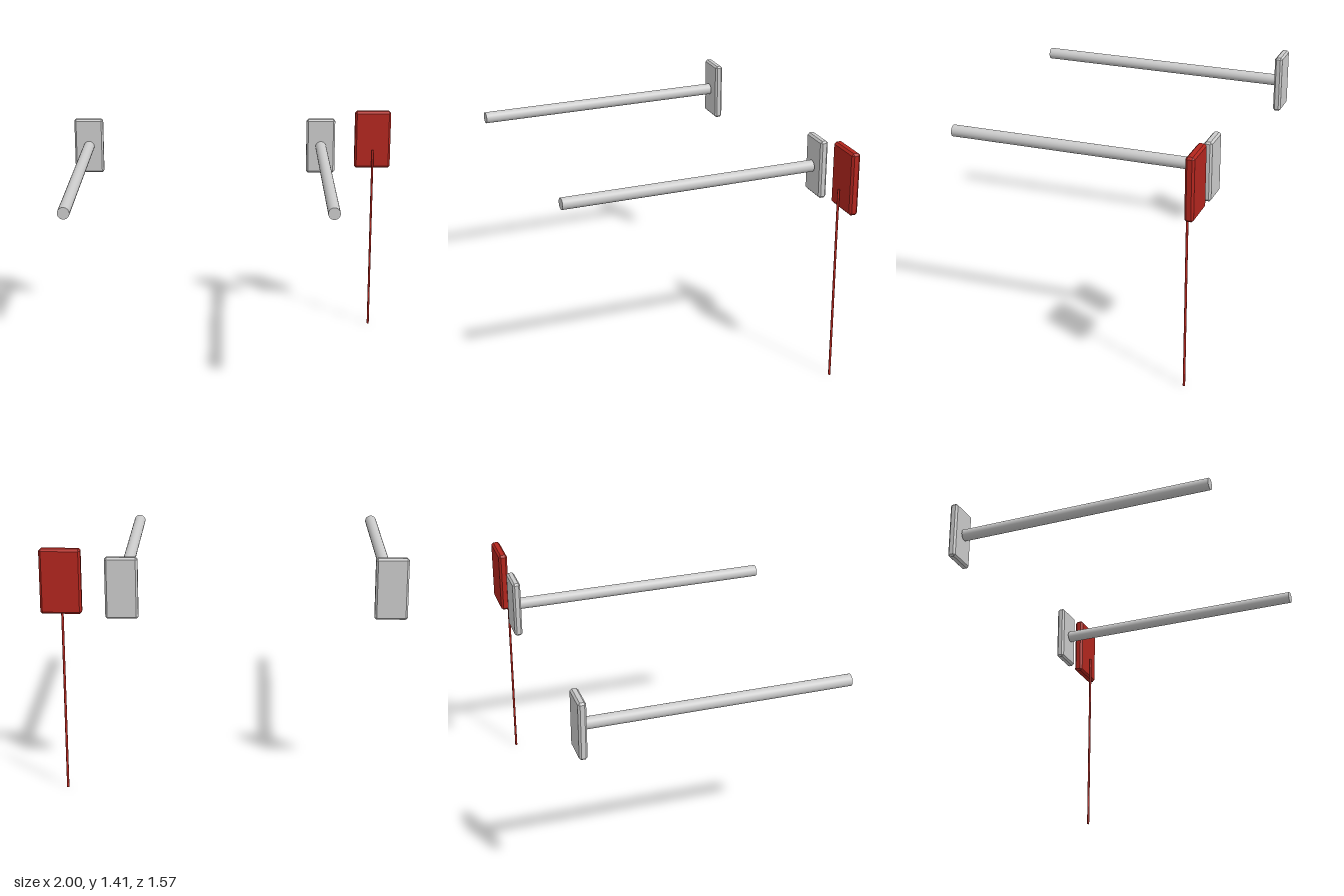
import * as THREE from 'three';
import { ConvexGeometry } from 'three/addons/geometries/ConvexGeometry.js';

// Box with every edge and corner cut by a bevel b (w, h, d are half sizes)
function chamferedBox(w, h, d, b) {
  const points = [];
  for (const x of [-1, 1]) for (const y of [-1, 1]) for (const z of [-1, 1]) {
    points.push(
      new THREE.Vector3(x * w, y * (h - b), z * (d - b)),
      new THREE.Vector3(x * (w - b), y * h, z * (d - b)),
      new THREE.Vector3(x * (w - b), y * (h - b), z * d)
    );
  }
  return new ConvexGeometry(points);
}

export function createModel() {
  const model = new THREE.Group();
  const grey = new THREE.MeshStandardMaterial({ color: 0xcccccc });
  const red = new THREE.MeshStandardMaterial({ color: 0xb3261e });

  const add = (parent, name, geometry, material, x, y, z) => {
    const mesh = new THREE.Mesh(geometry, material);
    mesh.name = name;
    mesh.position.set(x, y, z);
    parent.add(mesh);
    return mesh;
  };

  // Two horizontal rods, each ending just in front of a wall plate
  const plate = chamferedBox(0.09, 0.172, 0.023, 0.011);
  const rod = new THREE.CylinderGeometry(0.034, 0.034, 1.508, 32).rotateX(Math.PI / 2);
  for (const [name, x] of [['rightArm', -0.91], ['leftArm', 0.557]]) {
    const arm = new THREE.Group();
    arm.name = name;
    arm.position.x = x;
    add(arm, 'wallPlate', plate, grey, 0, 1.188, -0.752);
    add(arm, 'rod', rod, grey, 0, 1.188, 0.033);
    model.add(arm);
  }

  // Red control box with its hanging pull cord
  const control = new THREE.Group();
  control.name = 'pullControl';
  control.position.x = 0.886;
  add(control, 'controlBox', chamferedBox(0.113, 0.182, 0.0255, 0.012), red, 0, 1.228, -0.7615);
  add(control, 'pullCord', new THREE.CylinderGeometry(0.0068, 0.0068, 1.166, 16), red, 0, 0.583, -0.721);
  model.add(control);

  return model;
}
